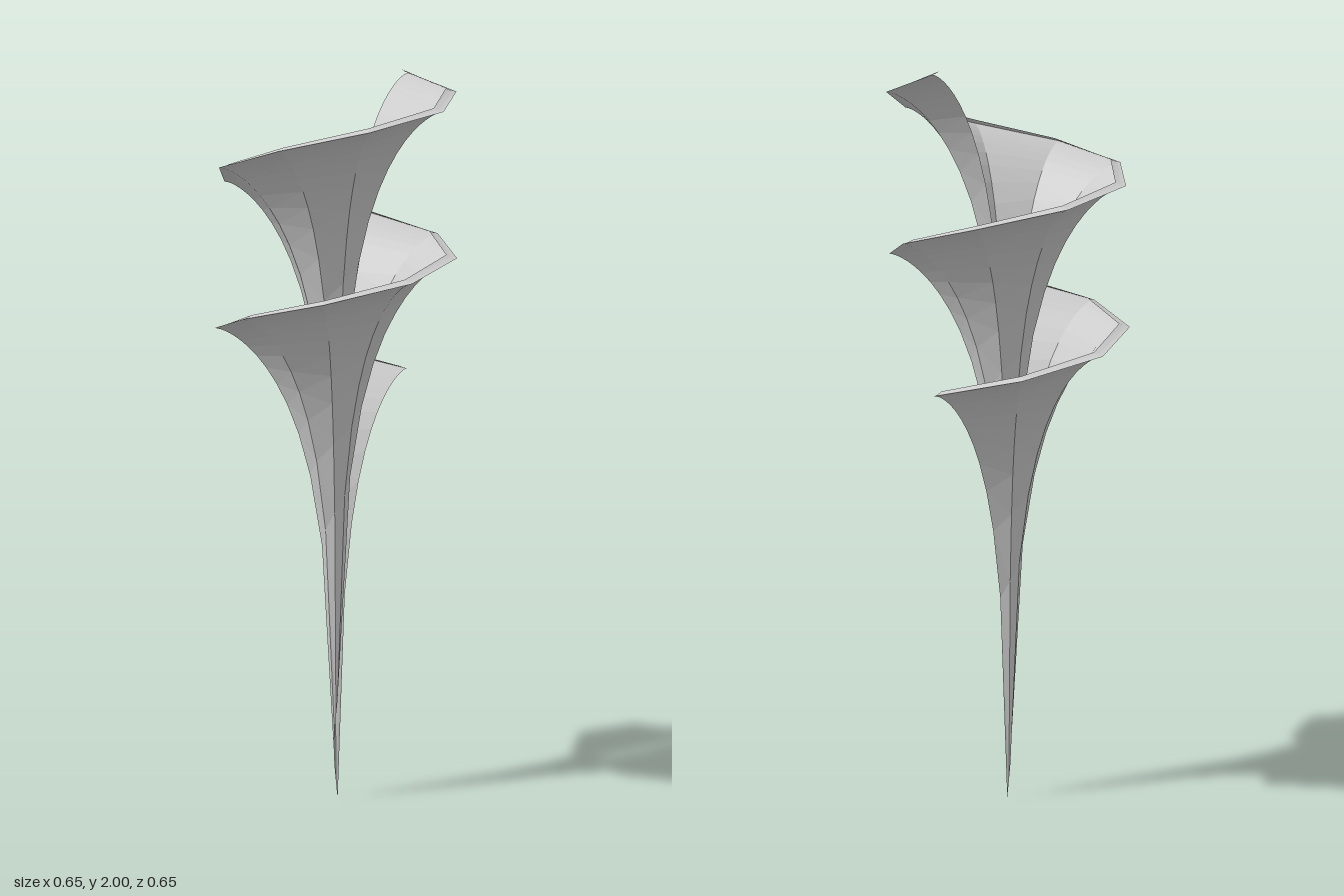
import * as THREE from 'three';
import { ParametricGeometry } from 'three/addons/geometries/ParametricGeometry.js';

const SCALE = 0.3255;       // radius of the widest ring
const TWIST = 0.2;          // rise per radian, relative to the radius
const TURNS = 2;
const V_MIN = 0.02, V_MAX = 2;  // from the thin stem to just past the widest ring

// Height of the flared horn profile (a tractrix)
const profileHeight = (v) => Math.cos(v) + Math.log(Math.tan(v / 2));

// Twisted horn: the tractrix profile swept along a helix (Dini's surface)
function twistedHorn(s, t, target) {
  const u = s * TURNS * 2 * Math.PI;
  const v = V_MIN + t * (V_MAX - V_MIN);
  const r = SCALE * Math.sin(v);
  const y = SCALE * (profileHeight(v) - profileHeight(V_MIN) + TWIST * u);
  target.set(r * Math.cos(u), y, -r * Math.sin(u));
}

export function createModel() {
  const group = new THREE.Group();
  group.name = 'twistedHornSculpture';

  const geometry = new ParametricGeometry(twistedHorn, 17, 20);
  // The coarse facets reach slightly further on one side, so centre them
  geometry.translate(-0.0027, 0, 0);

  const horn = new THREE.Mesh(geometry, new THREE.MeshStandardMaterial({
    color: 0xcccccc, flatShading: true, side: THREE.DoubleSide,
  }));
  horn.name = 'spiralHornSurface';
  group.add(horn);
  return group;
}
